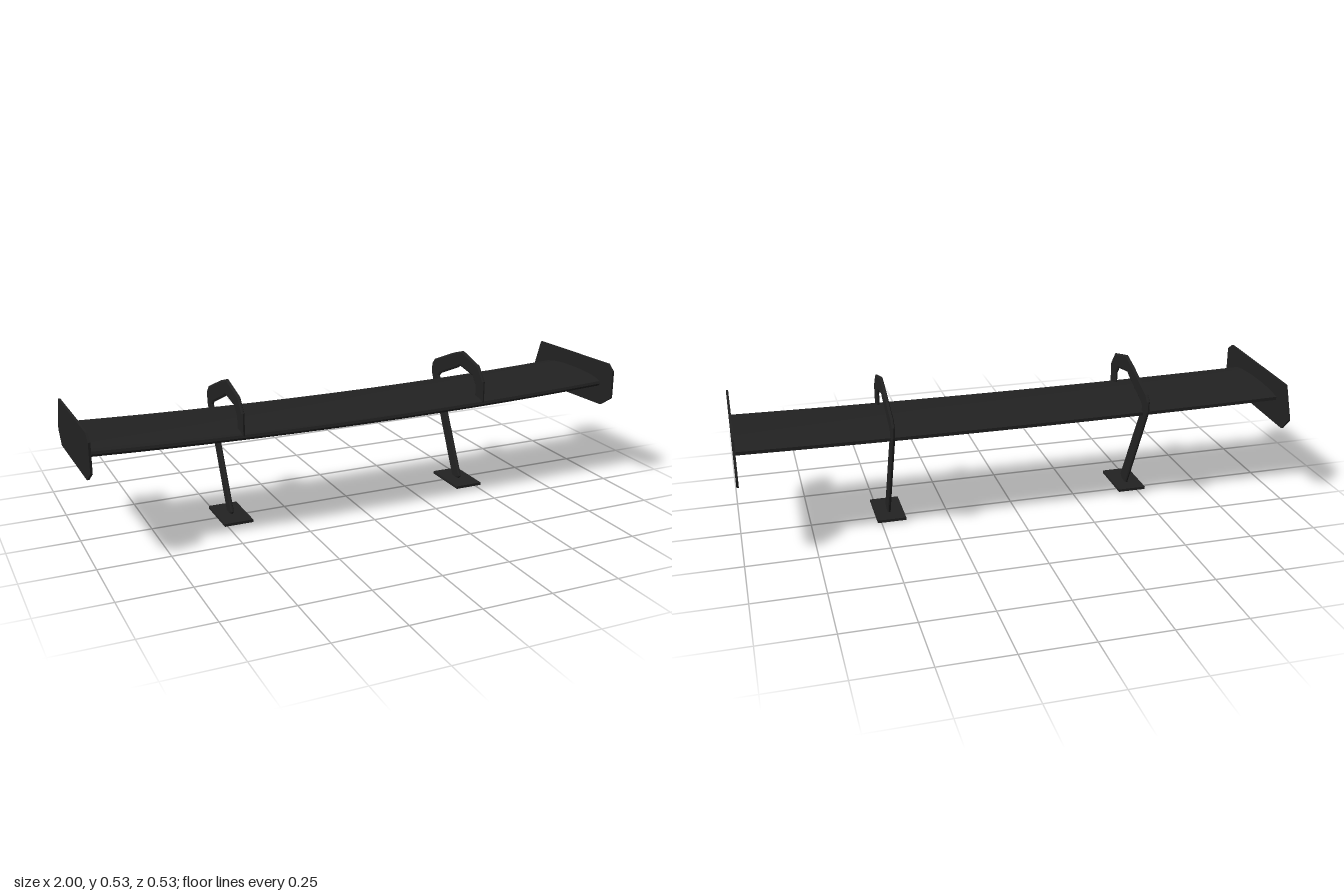
import * as THREE from 'three';
import { toCreasedNormals } from 'three/addons/utils/BufferGeometryUtils.js';

const black = new THREE.MeshStandardMaterial({ color: 0x222222 });
black.name = 'satin black';

// Side profile of [z, y] points, extruded along x and centred on x = 0
function sidePlate(points, width, options = {}) {
  const shape = new THREE.Shape(points.map(([z, y]) => new THREE.Vector2(z, y)));
  const geo = new THREE.ExtrudeGeometry(shape, { depth: width, bevelEnabled: false, ...options });
  geo.translate(0, 0, -width / 2);
  geo.rotateY(-Math.PI / 2);
  return geo;
}

function addMesh(parent, name, geo, x = 0, y = 0, z = 0) {
  const mesh = new THREE.Mesh(geo, black);
  mesh.name = name;
  mesh.position.set(x, y, z);
  parent.add(mesh);
  return mesh;
}

export function createModel() {
  const model = new THREE.Group();
  model.name = 'rearWing';

  // Wing blade: aerofoil section, tips swept back and raised
  const aerofoil = [
    [0.21, 0.362], [0.206, 0.371], [0.19, 0.378], [0.14, 0.385], [0.06, 0.388],
    [-0.03, 0.386], [-0.1, 0.379], [-0.143, 0.37],
    [-0.143, 0.358], [-0.09, 0.351], [0, 0.346], [0.1, 0.345], [0.18, 0.348], [0.204, 0.353],
  ];
  const blade = sidePlate(aerofoil, 1.988, { steps: 14 });
  const pos = blade.attributes.position;
  for (let i = 0; i < pos.count; i++) {
    const t = pos.getX(i) ** 2;
    pos.setY(i, pos.getY(i) + 0.016 * t);
    pos.setZ(i, pos.getZ(i) - 0.017 * t);
  }
  addMesh(model, 'wingBlade', toCreasedNormals(blade, 0.6));

  // End plates
  const plateOutline = [
    [0.265, 0.443], [0.235, 0.467], [-0.217, 0.453], [-0.263, 0.33],
    [-0.217, 0.281], [0.203, 0.297], [0.265, 0.338],
  ];
  for (const side of [-1, 1]) {
    addMesh(model, side > 0 ? 'leftEndPlate' : 'rightEndPlate',
      sidePlate(plateOutline, 0.008), side * 0.996);
  }

  // Swan-neck mounts: leg behind the blade, arch over it, tongue down to the leading edge
  const neckOutline = (drop) => [
    [0.005, 0.012 - drop], [0.045, 0.028 - drop], [0.058, 0.04 - drop],
    [-0.072, 0.285], [-0.13, 0.39], [-0.118, 0.402],
    [0.012, 0.458], [0.031, 0.47], [0.125, 0.455], [0.148, 0.425], [0.15, 0.37],
    [0.204, 0.366], [0.205, 0.45], [0.165, 0.5], [0.047, 0.53], [-0.015, 0.51],
    [-0.165, 0.449], [-0.186, 0.425], [-0.184, 0.383], [-0.135, 0.285],
  ];
  const bevel = {
    bevelEnabled: true, bevelSize: 0.006, bevelOffset: -0.006,
    bevelThickness: 0.003, bevelSegments: 1,
  };
  for (const [side, x, drop] of [['right', -0.468, 0], ['left', 0.463, 0.009]]) {
    const mount = new THREE.Group();
    mount.name = side + 'Mount';
    mount.position.x = x;
    addMesh(mount, 'swanNeck', sidePlate(neckOutline(drop), 0.005, bevel));
    addMesh(mount, 'footPlate', new THREE.BoxGeometry(0.105, 0.01, 0.184), 0, 0.023 - drop, 0.031);
    model.add(mount);
  }
  return model;
}
